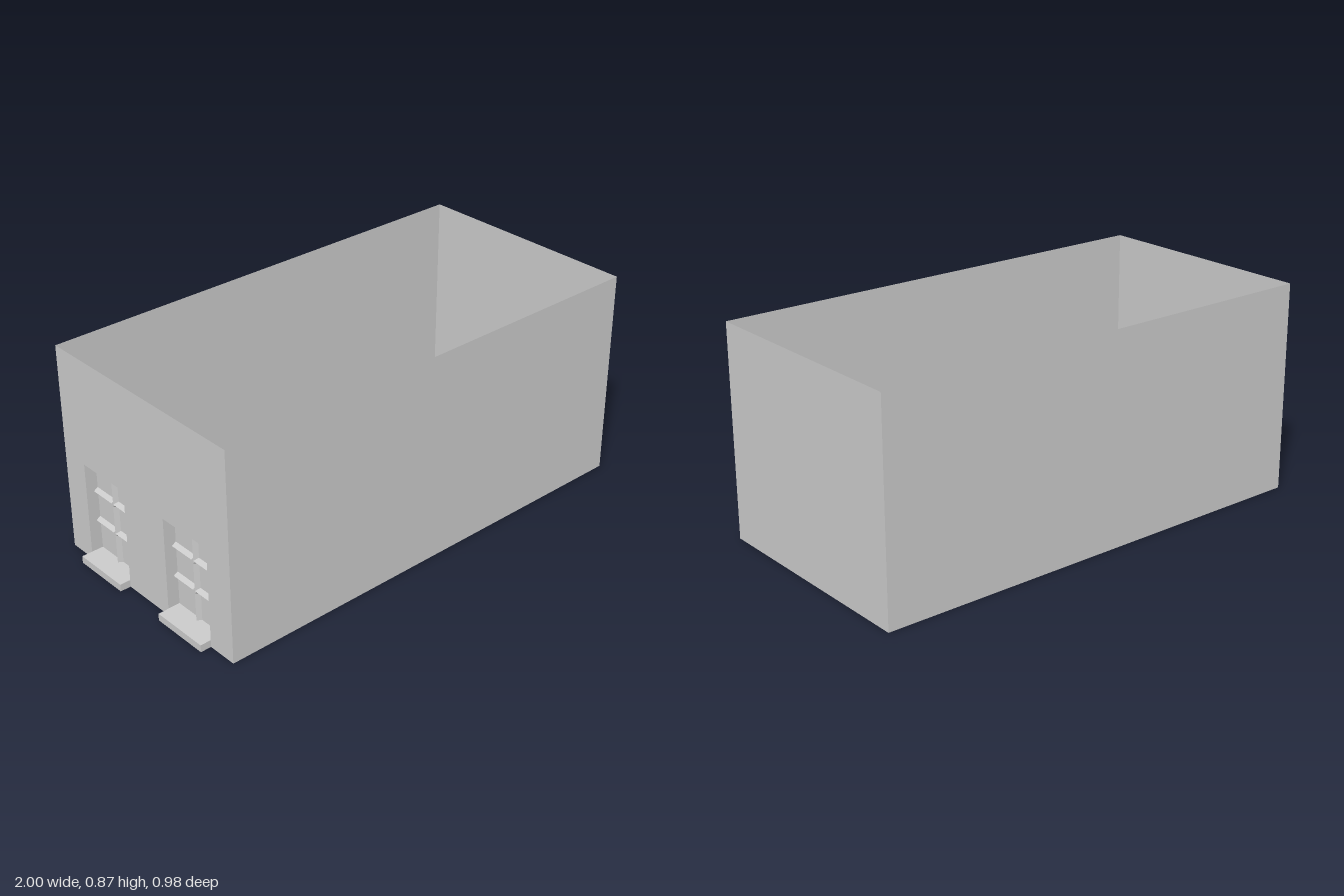
import * as THREE from 'three';

const material = new THREE.MeshStandardMaterial({ color: 0xcccccc, side: THREE.DoubleSide, flatShading: true });

const X0 = -0.955, X1 = 1, D = 0.49, H = 0.87;    // room extents
const HALF = 0.124, BOTTOM = 0.03, TOP = 0.42;    // window opening
const RECESS = 0.05, BAR = 0.011, RIDGE = 0.018;  // recess depth, muntin half width and height
const SILL = 0.045;
const WINDOW_Z = [-0.245, 0.24];

function mesh(name, geometry) {
  const m = new THREE.Mesh(geometry, material);
  m.name = name;
  return m;
}

// Recessed pane sheet: outer ring lies on the wall plane, V-shaped muntins rise from the panes
function windowSheet() {
  const third = (TOP - BOTTOM) / 3;
  const across = (c) => [c - BAR, c, c + BAR];
  const xs = [-HALF, -HALF, ...across(0), HALF, HALF];
  const ys = [BOTTOM, BOTTOM, ...across(BOTTOM + third), ...across(BOTTOM + 2 * third), TOP, TOP].reverse();
  const geometry = new THREE.PlaneGeometry(1, 1, xs.length - 1, ys.length - 1);
  const pos = geometry.attributes.position;
  ys.forEach((y, j) => xs.forEach((x, i) => {
    const rim = i === 0 || j === 0 || i === xs.length - 1 || j === ys.length - 1;
    const onBar = i === 3 || j === 3 || j === 6;
    pos.setXYZ(j * xs.length + i, x, y, rim ? 0 : -RECESS + (onBar ? RIDGE : 0));
  }));
  const flat = geometry.toNonIndexed();
  flat.computeVertexNormals();
  return flat;
}

// Wall with two window openings, drawn in its own plane
function windowWall() {
  const rect = (path, a, b, c, d) => path.moveTo(a, c).lineTo(b, c).lineTo(b, d).lineTo(a, d).closePath();
  const shape = new THREE.Shape();
  rect(shape, -D, D, 0, H);
  for (const z of WINDOW_Z) {
    const hole = new THREE.Path();
    rect(hole, z - HALF, z + HALF, BOTTOM, TOP);
    shape.holes.push(hole);
  }
  return new THREE.ShapeGeometry(shape);
}

export function createModel() {
  const model = new THREE.Group();
  model.name = 'room';

  // Long walls, open above and below
  for (const side of [1, -1]) {
    const wall = mesh(side > 0 ? 'frontWall' : 'backWall', new THREE.PlaneGeometry(X1 - X0, H));
    wall.position.set((X0 + X1) / 2, H / 2, side * D);
    if (side < 0) wall.rotation.y = Math.PI;
    model.add(wall);
  }

  // Plain end wall
  const endWall = mesh('leftWall', new THREE.PlaneGeometry(2 * D, H));
  endWall.position.set(X1, H / 2, 0);
  endWall.rotation.y = Math.PI / 2;
  model.add(endWall);

  // Window end: wall, recessed windows and projecting sills
  const end = new THREE.Group();
  end.name = 'windowEnd';
  end.position.x = X0;
  end.rotation.y = -Math.PI / 2;
  end.add(mesh('rightWall', windowWall()));
  for (const z of WINDOW_Z) {
    const pane = mesh('window', windowSheet());
    pane.position.x = z;
    const sill = mesh('windowSill', new THREE.BoxGeometry(2 * HALF, BOTTOM, SILL));
    sill.position.set(z, BOTTOM / 2, SILL / 2);
    end.add(pane, sill);
  }
  model.add(end);
  return model;
}
